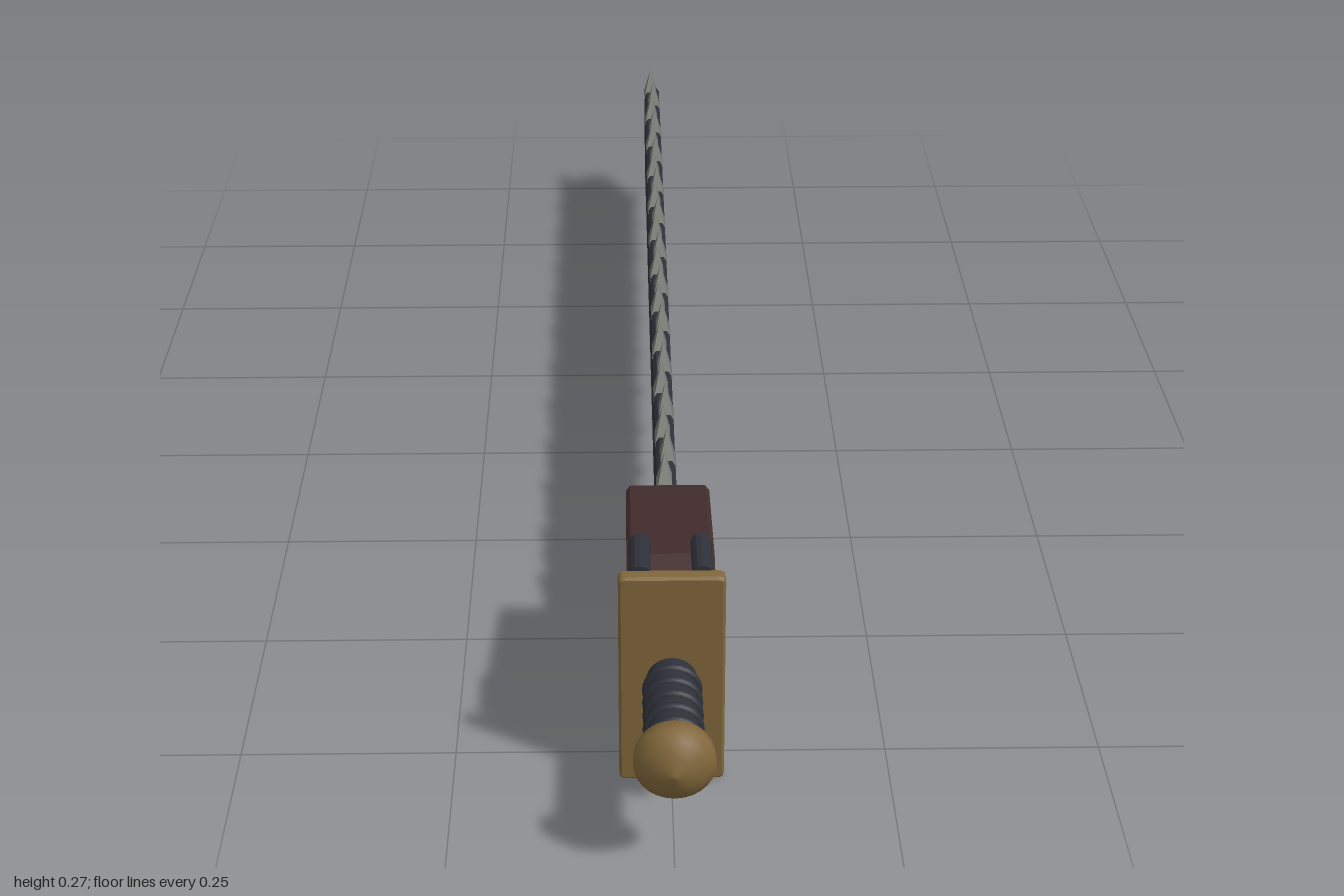
import * as THREE from 'three';

const mat = (name, color) => new THREE.MeshStandardMaterial({ name, color });
const AXIS_Y = 0.135; // height of the sword's centre line

export function createModel() {
  const model = new THREE.Group();
  model.name = 'chainSword';
  const brass = mat('brass', 0x80663a);
  const housingRed = mat('darkRedHousing', 0x422c2c);
  const gunmetal = mat('gunmetal', 0x2f313a);
  const steel = mat('steel', 0x73766f);
  const black = mat('ventShadow', 0x1c1a1d);

  const add = (name, geometry, material, x = 0, y = 0, z = 0, parent = model) => {
    const mesh = new THREE.Mesh(geometry, material);
    mesh.name = name;
    mesh.position.set(x, y, z);
    parent.add(mesh);
    return mesh;
  };

  // Side outline given as [z, y] points
  const sideShape = (pts) => new THREE.Shape(pts.map(([z, y]) => new THREE.Vector2(-z, y)));
  // Extrudes a side outline across x, centred, with a chamfer kept inside the outline
  const extrudeSide = (shape, width, bevel) => {
    const g = new THREE.ExtrudeGeometry(shape, {
      depth: width - 2 * bevel, bevelThickness: bevel, bevelSize: bevel,
      bevelOffset: -bevel, bevelSegments: 1, curveSegments: 10,
    });
    g.translate(0, 0, -(width - 2 * bevel) / 2);
    return g.rotateY(Math.PI / 2);
  };

  // Blade with a pointed tip and a row of round holes
  const bladeShape = sideShape([[0.56, 0.06], [-0.935, 0.06], [-1, AXIS_Y], [-0.935, 0.21], [0.56, 0.21]]);
  for (let i = 0; i < 6; i++) {
    const hole = new THREE.Path();
    hole.absarc(-(0.417 - i * 0.2546), AXIS_Y, 0.012, 0, Math.PI * 2, true);
    bladeShape.holes.push(hole);
  }
  add('blade', extrudeSide(bladeShape, 0.024, 0.004), gunmetal);

  // Chain teeth: four-sided spikes raked towards the tip, along both edges
  const toothHeight = 0.034;
  const tooth = new THREE.ConeGeometry(Math.SQRT1_2, 1, 4, 1).toNonIndexed();
  tooth.rotateY(Math.PI / 4).translate(0, 0.5, 0).scale(0.022, toothHeight, 0.042);
  const p = tooth.attributes.position;
  for (let i = 0; i < p.count; i++) p.setZ(i, p.getZ(i) - (p.getY(i) / toothHeight) * 0.03);
  tooth.computeVertexNormals();
  for (const side of [0, 1]) {
    const row = new THREE.Group();
    row.name = side ? 'lowerTeeth' : 'upperTeeth';
    row.position.y = AXIS_Y;
    row.rotation.z = side * Math.PI;
    for (let i = 0; i < 23; i++) {
      add('tooth', tooth, steel, i % 2 ? 0.002 : -0.002, 0.068, -0.925 + i * 0.0637, row);
    }
    model.add(row);
  }

  // Motor housing with vent slots
  const housing = sideShape([
    [0.785, 0.067], [0.745, 0.027], [0.532, 0.04], [0.532, 0.235], [0.73, 0.254], [0.762, 0.24], [0.785, 0.208],
  ]);
  for (let i = 0; i < 4; i++) {
    const y = 0.081 + i * 0.025;
    housing.holes.push(new THREE.Path([
      [-0.6, y], [-0.6, y + 0.014], [-0.72, y + 0.014], [-0.72, y],
    ].map(([a, b]) => new THREE.Vector2(a, b))));
  }
  add('motorHousing', extrudeSide(housing, 0.1, 0.005), housingRed);
  add('ventBacking', new THREE.BoxGeometry(0.07, 0.11, 0.14), black, 0, 0.122, 0.66);
  add('motorDrum', new THREE.CylinderGeometry(0.056, 0.056, 0.084, 24).rotateZ(Math.PI / 2),
    steel, 0, 0.115, 0.658);

  // Twin exhaust pipes on top, open at the blade end
  const pipe = new THREE.LatheGeometry(
    [[0, 0], [0.012, 0], [0.012, 0.075], [0.008, 0.075], [0.008, 0.06], [0, 0.06]]
      .map(([r, y]) => new THREE.Vector2(r, y)), 12).toNonIndexed();
  pipe.computeVertexNormals();
  pipe.rotateX(-Math.PI / 2);
  for (const s of [-1, 1]) add('exhaustPipe', pipe, gunmetal, s * 0.035, 0.255, 0.78);

  // Hand guard: upright plate with softened corners
  const w = 0.06, h = 0.133, r = 0.008;
  const guard = new THREE.Shape();
  guard.moveTo(-w + r, -h);
  guard.lineTo(w - r, -h);
  guard.quadraticCurveTo(w, -h, w, -h + r);
  guard.lineTo(w, h - r);
  guard.quadraticCurveTo(w, h, w - r, h);
  guard.lineTo(-w + r, h);
  guard.quadraticCurveTo(-w, h, -w, h - r);
  guard.lineTo(-w, -h + r);
  guard.quadraticCurveTo(-w, -h, -w + r, -h);
  add('handGuard', new THREE.ExtrudeGeometry(guard, {
    depth: 0.014, bevelThickness: 0.003, bevelSize: 0.003, bevelOffset: -0.003, bevelSegments: 1, curveSegments: 4,
  }), brass, 0, 0.134, 0.79);

  // Grip with raised rings
  add('grip', new THREE.CylinderGeometry(0.029, 0.029, 0.16, 24).rotateX(Math.PI / 2), gunmetal, 0, AXIS_Y, 0.88);
  for (let i = 0; i < 5; i++) {
    add('gripRing', new THREE.TorusGeometry(0.029, 0.005, 8, 24), gunmetal, 0, AXIS_Y, 0.828 + i * 0.026);
  }

  // Domed pommel
  const pommel = new THREE.LatheGeometry(
    [[0, 0.948], [0.034, 0.948], [0.044, 0.955], [0.045, 0.972], [0.036, 0.983], [0.02, 0.994], [0, 1]]
      .map(([a, b]) => new THREE.Vector2(a, b)), 28);
  add('pommel', pommel.rotateX(Math.PI / 2), brass, 0, AXIS_Y, 0);

  // Trigger below the grip
  add('trigger', new THREE.BoxGeometry(0.02, 0.046, 0.022), steel, 0, 0.073, 0.848);

  return model;
}
